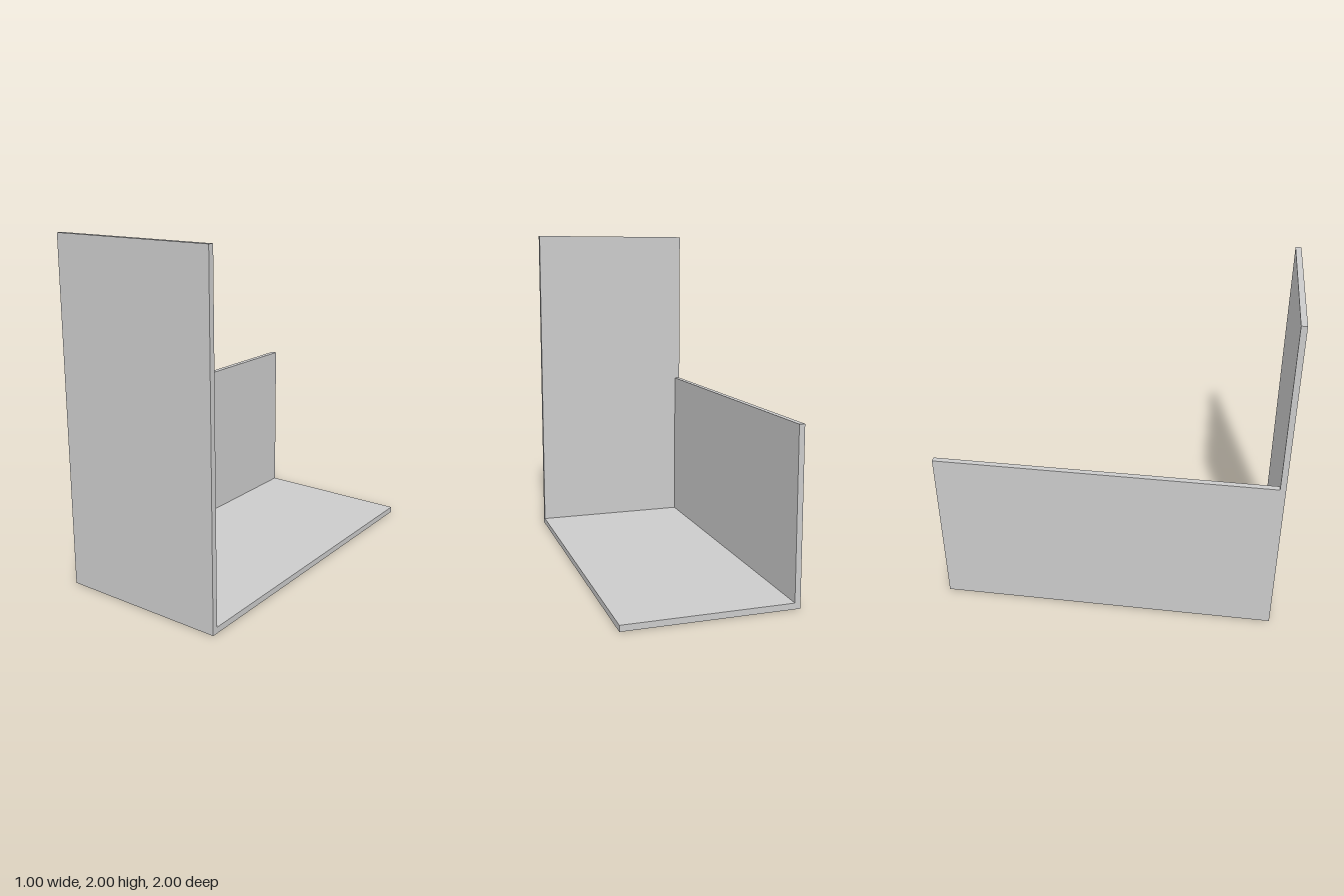
import * as THREE from 'three';

// Three thin boards meeting at one corner
export function createModel() {
  const group = new THREE.Group();
  const material = new THREE.MeshStandardMaterial({ color: 0xcccccc, flatShading: true });
  const t = 0.033; // board thickness
  const floorT = 0.035;

  // Adds a box given its minimum and maximum corners
  const board = (name, min, max) => {
    const size = max.map((v, i) => v - min[i]);
    const mesh = new THREE.Mesh(new THREE.BoxGeometry(...size), material);
    mesh.position.set(...min.map((v, i) => (v + max[i]) / 2));
    mesh.name = name;
    group.add(mesh);
  };

  // Tall board across the front
  board('frontPanel', [-0.5, 0, 1 - t], [0.5, 2, 1]);
  // Half-height wall along the right side
  board('sideWall', [-0.5, 0, -1], [-0.5 + t, 1, 1 - t]);
  // Base between the two
  board('floor', [-0.5 + t, 0, -1], [0.5, floorT, 1 - t]);

  return group;
}
